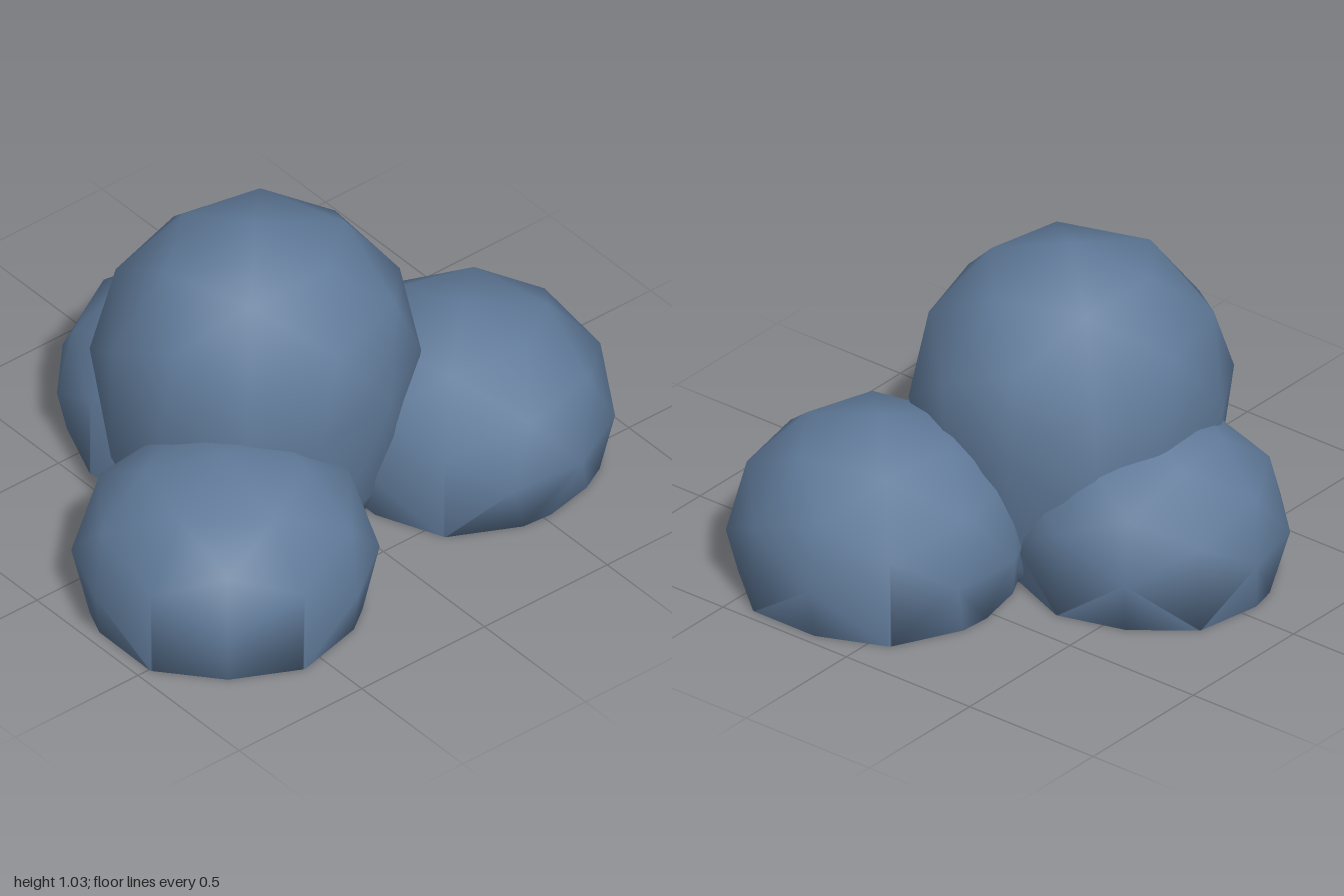
import * as THREE from 'three';
import { mergeVertices } from 'three/addons/utils/BufferGeometryUtils.js';
import { ConvexGeometry } from 'three/addons/geometries/ConvexGeometry.js';

// Low-poly ball, stretched below its centre and sliced flat at y = 0
function slicedBall([cx, cy, cz], [rx, ry, rz], lowRy, turn) {
  const ball = new THREE.IcosahedronGeometry(1, 1);
  ball.rotateY(turn);
  const p = ball.attributes.position;
  const verts = [];
  for (let i = 0; i < p.count; i++) {
    const y = p.getY(i);
    verts.push(new THREE.Vector3(cx + p.getX(i) * rx, cy + y * (y < 0 ? lowRy : ry), cz + p.getZ(i) * rz));
  }

  // Keep what is above the ground, plus the points where edges cross it
  const kept = new Map();
  const keep = (v) => kept.set(v.toArray().map((n) => Math.round(n * 1000)).join(), v);
  for (let i = 0; i < verts.length; i++) {
    const a = verts[i];
    const b = verts[i % 3 === 2 ? i - 2 : i + 1];
    if (a.y >= 0) keep(a);
    if (a.y * b.y < 0) {
      const cut = a.clone().lerp(b, a.y / (a.y - b.y));
      cut.y = 0;
      keep(cut);
    }
  }

  // Weld the hull for soft shading
  const hull = new ConvexGeometry([...kept.values()]);
  hull.deleteAttribute('normal');
  const smooth = mergeVertices(hull, 1e-3);
  smooth.computeVertexNormals();
  return smooth;
}

export function createModel() {
  const group = new THREE.Group();
  const slateBlue = new THREE.MeshStandardMaterial({ color: 0x607a99 });
  slateBlue.name = 'slateBlue';

  // name, centre, radii, radius below centre, turn
  const parts = [
    ['topBoulder', [-0.03, 0.53, 0.085], [0.51, 0.5, 0.53], 0.85, 0.3],
    ['frontBoulder', [0.35, 0.18, 0.52], [0.485, 0.37, 0.485], 0.6, 0.9],
    ['backBoulder', [0.25, 0.18, -0.53], [0.485, 0.4, 0.48], 0.6, 0.2],
    ['sideBoulder', [-0.37, 0.18, 0.04], [0.47, 0.37, 0.44], 0.6, 0.5],
  ];
  for (const [name, centre, radii, lowRy, turn] of parts) {
    const mesh = new THREE.Mesh(slicedBall(centre, radii, lowRy, turn), slateBlue);
    mesh.name = name;
    group.add(mesh);
  }
  return group;
}
